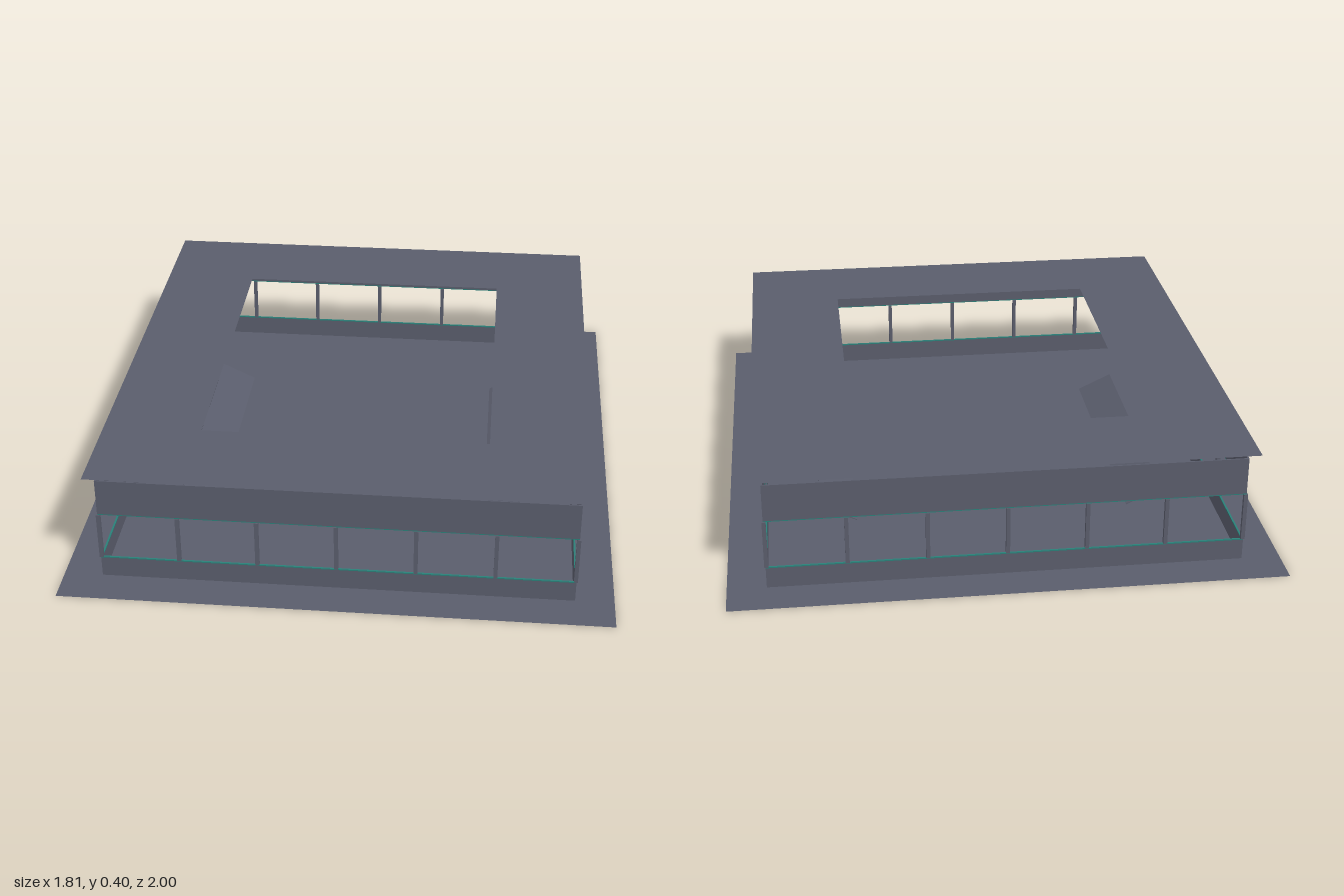
import * as THREE from 'three';

const HX = 0.775, HZ = 0.87; // wall centre lines
const ROOF_Y = 0.396, SILL = 0.075, LINTEL = 0.24, WALL_TOP = 0.37;

export function createModel() {
  const slate = new THREE.MeshStandardMaterial({ color: 0x5a5d6c, side: THREE.DoubleSide });
  slate.name = 'slate';
  const teal = new THREE.MeshStandardMaterial({ color: 0x2b8079 });
  teal.name = 'teal trim';

  const model = new THREE.Group();
  model.name = 'pavilion';

  const add = (parent, name, geometry, material, x = 0, y = 0, z = 0) => {
    const mesh = new THREE.Mesh(geometry, material);
    mesh.name = name;
    mesh.position.set(x, y, z);
    parent.add(mesh);
    return mesh;
  };

  // Four thin sides forming a rectangular band between two heights
  const band = (name, y0, y1, thick, material) => {
    const group = new THREE.Group();
    group.name = name;
    const h = y1 - y0, y = (y0 + y1) / 2;
    for (const s of [-1, 1]) {
      add(group, name + 'Long', new THREE.BoxGeometry(thick, h, 2 * HZ + thick), material, s * HX, y, 0);
      add(group, name + 'Short', new THREE.BoxGeometry(2 * HX - thick, h, thick), material, 0, y, s * HZ);
    }
    model.add(group);
  };

  // Ground sheet
  add(model, 'base', new THREE.PlaneGeometry(1.81, 2).rotateX(-Math.PI / 2), slate);

  // Flat roof with a courtyard opening
  const rectangle = (path, x, z) =>
    path.moveTo(-x, -z).lineTo(x, -z).lineTo(x, z).lineTo(-x, z).lineTo(-x, -z);
  const roof = rectangle(new THREE.Shape(), 0.81, 0.905);
  roof.holes.push(rectangle(new THREE.Path(), 0.48, 0.575));
  add(model, 'roof', new THREE.ShapeGeometry(roof).rotateX(-Math.PI / 2), slate, 0, ROOF_Y, 0);

  // Parapet below the windows and fascia above them, with teal edges
  band('lowerWall', 0, SILL - 0.004, 0.005, slate);
  band('upperWall', LINTEL + 0.003, WALL_TOP, 0.005, slate);
  band('sillTrim', SILL - 0.004, SILL, 0.006, teal);
  band('lintelTrim', LINTEL, LINTEL + 0.003, 0.005, teal);

  // Window posts
  const posts = new THREE.Group();
  posts.name = 'posts';
  const postShape = new THREE.BoxGeometry(0.013, LINTEL - SILL, 0.013);
  const postY = (SILL + LINTEL) / 2;
  for (const s of [-1, 1]) {
    for (let i = 0; i <= 6; i++) add(posts, 'post', postShape, slate, HX * (i / 3 - 1), postY, s * HZ);
    for (let i = 1; i <= 4; i++) add(posts, 'post', postShape, slate, s * HX, postY, HZ * (i / 2.5 - 1));
  }
  model.add(posts);

  // Sloping panels along both sides of the courtyard
  const run = 0.122, rise = 0.058;
  for (const s of [-1, 1]) {
    const panel = add(model, s > 0 ? 'leftSlope' : 'rightSlope',
      new THREE.BoxGeometry(Math.hypot(run, rise), 0.003, 0.95), slate, s * (0.47 + run / 2), rise / 2 + 0.003, 0);
    panel.rotation.z = s * Math.atan2(rise, run);
  }

  return model;
}
